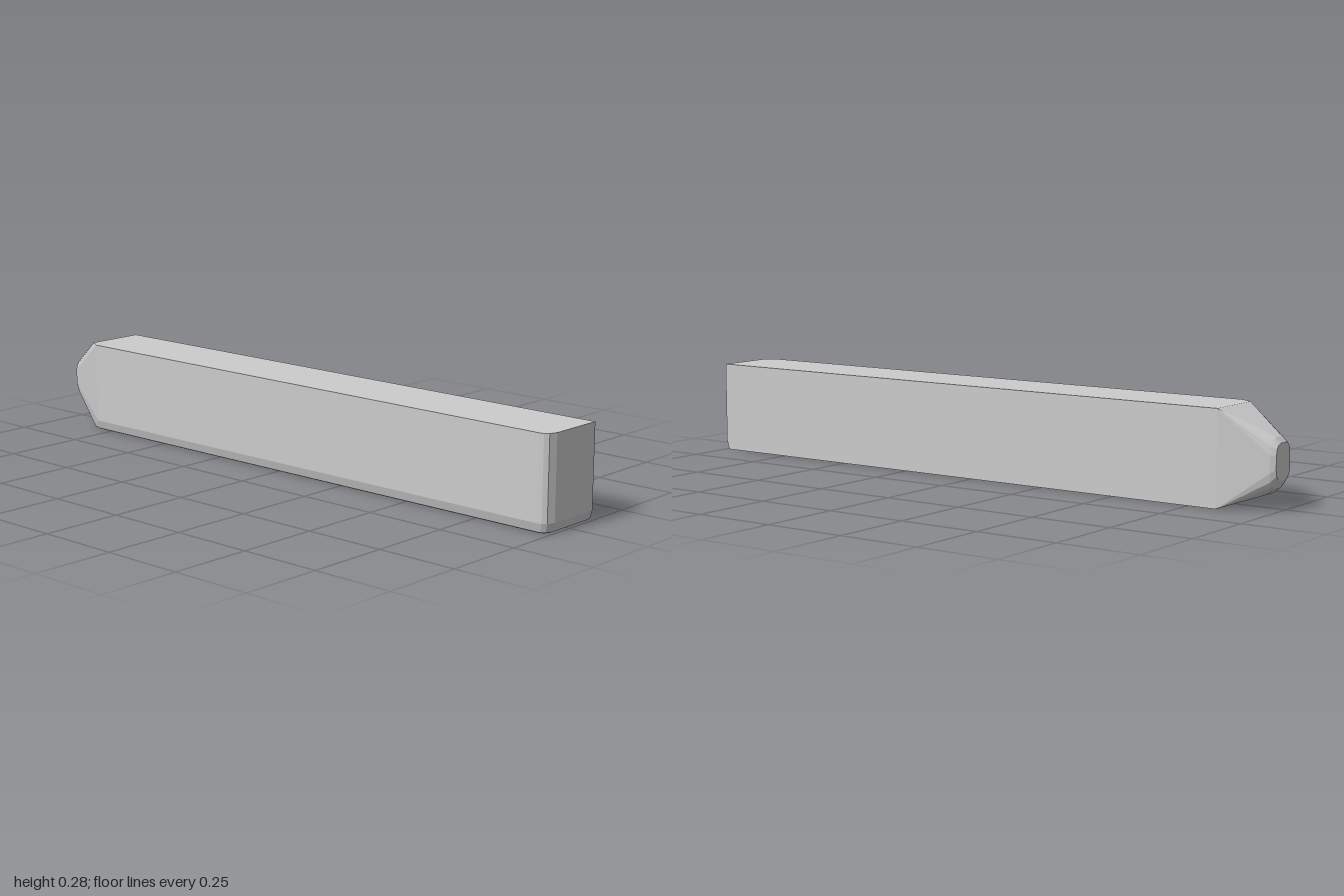
import * as THREE from 'three';
import { ConvexGeometry } from 'three/addons/geometries/ConvexGeometry.js';

const W = 0.105, H = 0.28;

// Bar outline seen from above [x, z]: one rounded front corner, slanted back shoulder
function outline(inset) {
  return [
    [W, 1 - inset], [-0.07, 1 - inset], [-0.093 + inset * 0.5, 0.992 - inset],
    [-0.102 + inset * 0.7, 0.98 - inset], [-W + inset, 0.965],
    [-W + inset, -0.8], [-0.08, -0.84], [W, -0.84],
  ];
}

// Rounded oblong cross-section of the nose at depth z
function noseRing(z, x0, x1, y0, y1, power, sides = 16) {
  const points = [];
  const bend = (v) => Math.sign(v) * Math.pow(Math.abs(v), power);
  for (let i = 0; i < sides; i++) {
    const a = ((i + 0.5) / sides) * Math.PI * 2;
    points.push(new THREE.Vector3(
      (x0 + x1) / 2 + bend(Math.cos(a)) * (x1 - x0) / 2,
      (y0 + y1) / 2 + bend(Math.sin(a)) * (y1 - y0) / 2, z));
  }
  return points;
}

export function createModel() {
  const group = new THREE.Group();
  group.name = 'taperedBar';
  const material = new THREE.MeshStandardMaterial({ color: 0xcccccc, flatShading: true });

  // Bar body levels: top, start of the lower bevel, underside
  const points = [];
  for (const [y, inset] of [[H, 0], [0.03, 0], [0.003, 0.008], [0, 0.014]]) {
    for (const [x, z] of outline(inset)) points.push(new THREE.Vector3(x, y, z));
  }

  // Tapered nose, blunted towards a small flat end
  points.push(
    ...noseRing(-0.96, -0.037, 0.075, 0.042, 0.22, 0.65),
    ...noseRing(-0.985, -0.027, 0.069, 0.06, 0.206, 0.65),
    ...noseRing(-1, -0.02, 0.06, 0.085, 0.19, 0.6),
  );

  const bar = new THREE.Mesh(new ConvexGeometry(points), material);
  bar.name = 'barWithTaperedNose';
  group.add(bar);
  return group;
}
